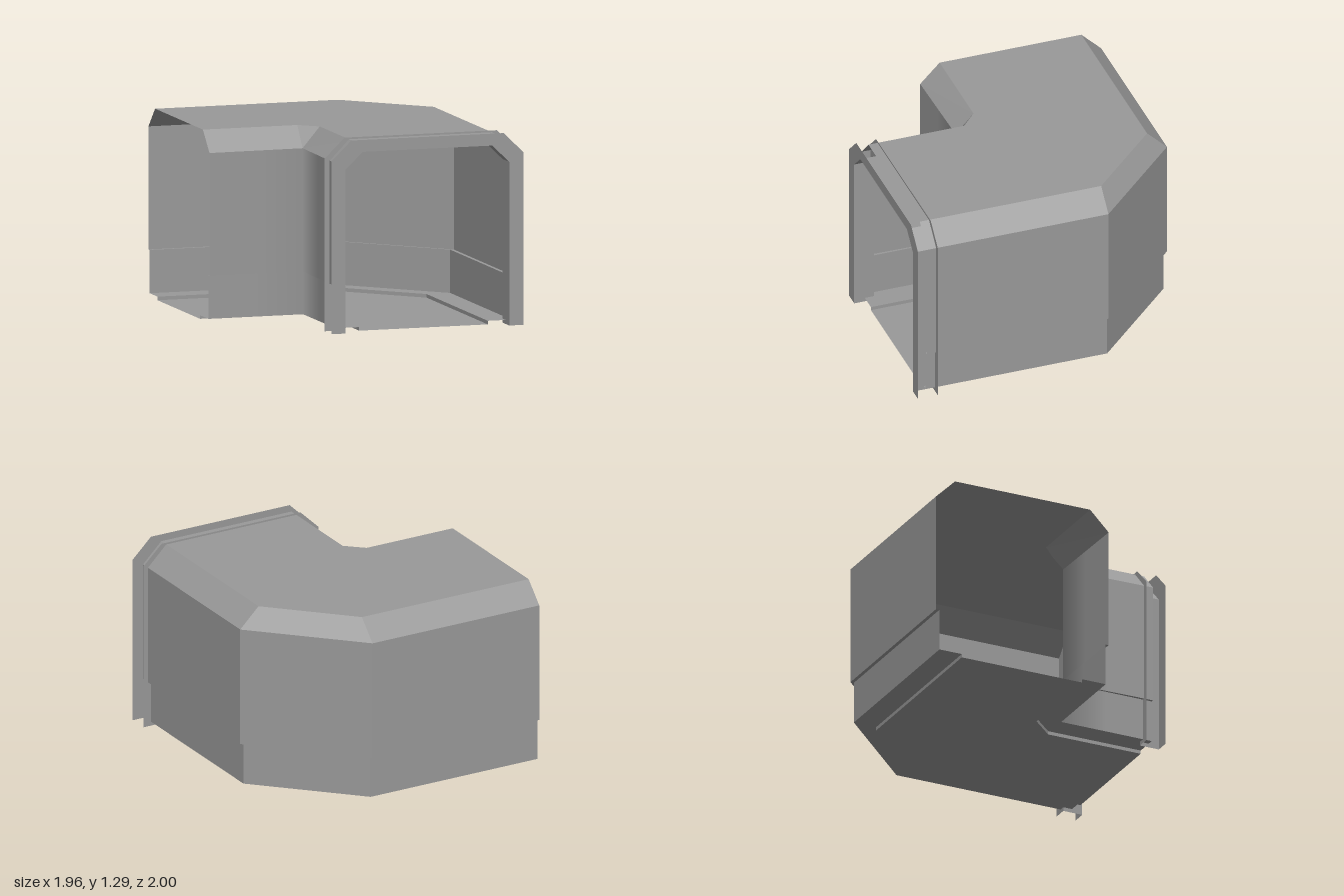
import * as THREE from 'three';

const material = new THREE.MeshStandardMaterial({ color: 0x999999, side: THREE.DoubleSide });

// Skins a list of equally long point rows; smooth keeps shared normals.
function skin(name, rows, smooth = false) {
  const n = rows[0].length;
  const index = [];
  for (let r = 0; r < rows.length - 1; r++) {
    for (let i = 0; i < n - 1; i++) {
      const a = r * n + i, b = a + 1, c = a + n, d = c + 1;
      index.push(a, c, b, b, c, d);
    }
  }
  let geometry = new THREE.BufferGeometry();
  geometry.setAttribute('position', new THREE.Float32BufferAttribute(rows.flat(2), 3));
  geometry.setIndex(index);
  if (!smooth) geometry = geometry.toNonIndexed();
  geometry.computeVertexNormals();
  const mesh = new THREE.Mesh(geometry, material);
  mesh.name = name;
  return mesh;
}

// Two-row smooth wall whose shading is even from top to bottom
function smoothWall(name, top, bottom) {
  const mesh = skin(name, [top, bottom], true);
  const normals = mesh.geometry.attributes.normal;
  const upper = new THREE.Vector3(), lower = new THREE.Vector3();
  for (let i = 0; i < top.length; i++) {
    upper.fromBufferAttribute(normals, i);
    lower.fromBufferAttribute(normals, i + top.length);
    upper.add(lower).normalize();
    normals.setXYZ(i, ...upper);
    normals.setXYZ(i + top.length, ...upper);
  }
  return mesh;
}

const END_X = -0.98, END_Z = 0.925;   // open ends of the two arms
const SLEEVE_Z = 0.86;                // rear of the door frame
const ROOF = 1.28, EAVES = 1.142, BAND = 0.317, LEDGE = 0.027, FLOOR = 0.003;

// Path along the outside of the bend, moved inwards by d
const outer = (d, y) => [
  [END_X, y, -1 + d], [0.3, y, -1 + d], [0.94 - d, y, -0.355], [0.94 - d, y, END_Z],
];

// Path along the inside of the bend; the corner runs from (x1, z1) to (x2, z2)
const inner = (y, zStart, x1, z1, x2, z2, xEnd) => [
  [END_X, y, zStart], [x1, y, z1], [x2, y, z2], [xEnd, y, END_Z],
];
const innerRoof = inner(ROOF, 0.14, -0.32, 0.14, -0.2, 0.25, -0.2);
const innerStep = (y) => inner(y, 0.08, -0.3, 0.08, -0.15, 0.24, -0.15);
const innerWall = (y) => inner(y, 0.277, -0.325, 0.265, -0.325, 0.265, -0.335);
const innerBase = (y) => inner(y, 0.255, -0.318, 0.254, -0.318, 0.254, -0.315);

// Wall path with a single corner and a point halfway along each arm
function wallPath([start, corner, , end]) {
  const middle = (a, b) => a.map((v, k) => (v + b[k]) / 2);
  return [start, middle(start, corner), corner, middle(corner, end), end];
}

// Doorway arch: half width, height, size of the cut corners, depth
function arch(halfWidth, top, cutX, cutY, z) {
  const half = [[halfWidth, 0], [halfWidth, top - cutY], [halfWidth - cutX, top]];
  const left = half.map(([x, y]) => [0.3025 + x, y, z]);
  const right = half.map(([x, y]) => [0.3025 - x, y, z]).reverse();
  return [...left, ...right];
}
const opening = (z) => arch(0.5725, 1.212, 0.12, 0.115, z);
const rim = (z) => arch(0.6725, 1.292, 0.14, 0.135, z);

export function createModel() {
  const group = new THREE.Group();
  group.name = 'corridorCorner';

  // Roof with its sloping edges
  group.add(
    skin('roof', [outer(0.14, ROOF), innerRoof]),
    skin('outerRoofBevel', [outer(0, EAVES), outer(0.14, ROOF)]),
    skin('innerRoofBevel', [innerRoof, innerWall(EAVES)]),
  );

  // Walls, stepping in at the base
  group.add(
    skin('outerWall', [outer(0, BAND), outer(0, EAVES)]),
    skin('outerBase', [outer(0.025, LEDGE), outer(0.025, BAND), outer(0, BAND)]),
    smoothWall('innerWall', wallPath(innerWall(EAVES)), wallPath(innerWall(BAND))),
    skin('innerWallLedge', [innerWall(BAND), innerBase(BAND)]),
    smoothWall('innerBase', wallPath(innerBase(BAND)), wallPath(innerBase(LEDGE))),
  );

  // Floor, sunk between two raised ledges
  group.add(
    skin('outerFloorLedge', [outer(0.19, FLOOR), outer(0.19, LEDGE), outer(0.025, LEDGE)]),
    skin('innerFloorLedge', [innerBase(LEDGE), innerStep(LEDGE), innerStep(FLOOR)]),
    skin('floor', [innerStep(FLOOR), outer(0.19, FLOOR)]),
  );

  // Door frame: a sleeve between two thin flanges, the rear one rising just past the walls
  group.add(
    skin('rearFlange', [rim(SLEEVE_Z), opening(SLEEVE_Z)]),
    skin('doorSleeve', [opening(SLEEVE_Z), opening(1)]),
    skin('frontFlange', [opening(1), rim(1)]),
  );
  return group;
}
